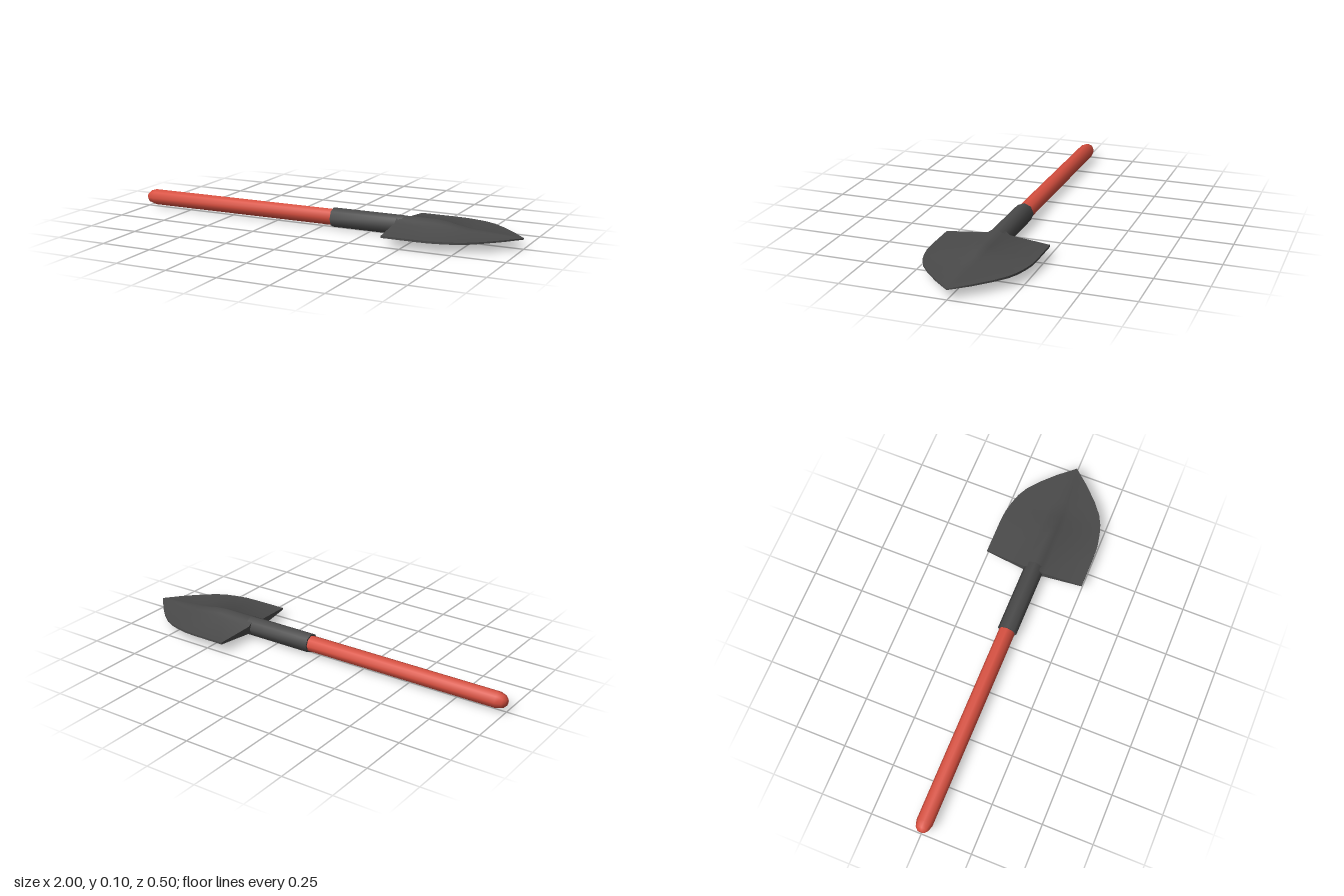
import * as THREE from 'three';
import { toCreasedNormals } from 'three/addons/utils/BufferGeometryUtils.js';

const CREASE = 0.9;

// Eight-sided rod along x, from [x, radius] pairs
function rod(profile) {
  const points = profile.map(([x, r]) => new THREE.Vector2(r, x));
  const geometry = new THREE.LatheGeometry(points, 8);
  geometry.rotateZ(-Math.PI / 2);
  return toCreasedNormals(geometry, CREASE);
}

// Pointed blade lofted from mirrored cross-sections with a central ridge
function bladeGeometry() {
  // x, half width, ridge half height, edge half thickness
  const sections = [
    [0.39, 0.25, 0.047, 0.005], [0.58, 0.25, 0.047, 0.005],
    [0.64, 0.247, 0.041, 0.005], [0.7, 0.235, 0.028, 0.005],
    [0.75, 0.22, 0.018, 0.005], [0.8, 0.195, 0.015, 0.005],
    [0.86, 0.148, 0.012, 0.004], [0.93, 0.08, 0.008, 0.004],
    [1, 0.001, 0.003, 0.003],
  ];
  const across = [-1, -0.22, -0.132, 0, 0.132, 0.22, 1];
  const n = across.length, ring = 2 * n;
  const positions = [], index = [];
  sections.forEach(([x, w, h, e], i) => {
    const heights = { 1: e, 0.22: e + (h - e) * 0.33, 0.132: e + (h - e) * 0.7, 0: h };
    for (let j = 0; j < ring; j++) {
      const top = j < n;
      const u = across[top ? j : ring - 1 - j];
      const y = heights[Math.abs(u)] * (top ? 1 : -1);
      const slant = i === 0 ? 0.02 * Math.abs(u) : 0; // swept rear edge
      positions.push(x + slant, y, u * w);
    }
  });
  for (let i = 0; i < sections.length - 1; i++) {
    for (let j = 0; j < ring; j++) {
      const k = (j + 1) % ring;
      const a = i * ring + j, b = i * ring + k, c = b + ring, d = a + ring;
      index.push(a, b, c, a, c, d);
    }
  }
  // Rear wall and tiny tip cap
  const last = (sections.length - 1) * ring;
  for (let j = 0; j < n - 1; j++) {
    const t = j, t2 = j + 1, b = ring - 1 - j, b2 = ring - 2 - j;
    index.push(t, b, b2, t, b2, t2);
    index.push(last + t, last + b2, last + b, last + t, last + t2, last + b2);
  }
  const geometry = new THREE.BufferGeometry();
  geometry.setAttribute('position', new THREE.Float32BufferAttribute(positions, 3));
  geometry.setIndex(index);
  return toCreasedNormals(geometry, CREASE);
}

export function createModel() {
  const red = new THREE.MeshStandardMaterial({ color: 0xd95040 });
  red.name = 'red handle';
  const steel = new THREE.MeshStandardMaterial({ color: 0x4a4a4a });
  steel.name = 'dark steel';

  const model = new THREE.Group();
  model.name = 'shovel';
  const add = (name, geometry, material) => {
    const mesh = new THREE.Mesh(geometry, material);
    mesh.name = name;
    mesh.position.y = 0.05;
    model.add(mesh);
  };

  add('handle', rod([[-1, 0], [-1, 0.016], [-0.985, 0.031], [-0.955, 0.04], [0.07, 0.04]]), red);
  add('socket', rod([[0.055, 0], [0.055, 0.048], [0.42, 0.048], [0.46, 0.04], [0.46, 0]]), steel);
  add('blade', bladeGeometry(), steel);
  return model;
}
